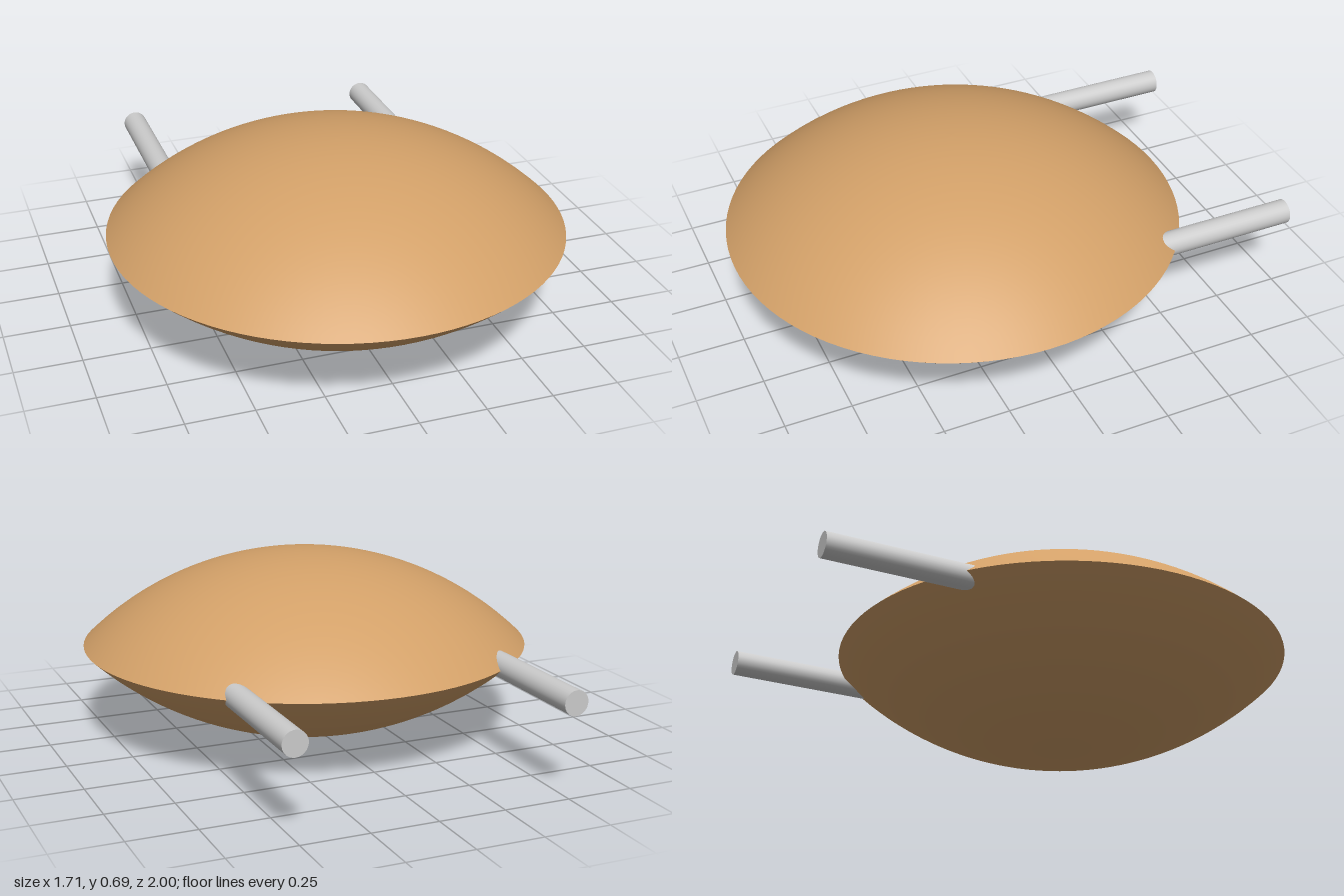
import * as THREE from 'three';

const RADIUS = 0.855, RISE = 0.343, MID_Y = 0.343, CENTER_Z = 0.145;

// Spherical cap, rim at y = 0; sign +1 bulges up, -1 bulges down
function capGeometry(sign) {
  const R = (RADIUS ** 2 + RISE ** 2) / (2 * RISE);
  const maxAngle = Math.asin(RADIUS / R);
  const steps = 32;
  const points = [];
  for (let i = 0; i <= steps; i++) {
    // profile runs from bottom to top so the faces point outwards
    const t = sign > 0 ? 1 - i / steps : i / steps;
    const a = maxAngle * t;
    points.push(new THREE.Vector2(R * Math.sin(a), sign * (R * Math.cos(a) - R + RISE)));
  }
  return new THREE.LatheGeometry(points, 96);
}

export function createModel() {
  const model = new THREE.Group();
  const tan = new THREE.MeshStandardMaterial({ color: 0xd2a068 });
  const grey = new THREE.MeshStandardMaterial({ color: 0xcccccc });

  // Lens-shaped body: two caps meeting at a sharp rim
  const body = new THREE.Group();
  body.name = 'lensBody';
  body.position.set(0, MID_Y, CENTER_Z);
  for (const [name, sign] of [['upperShell', 1], ['lowerShell', -1]]) {
    const shell = new THREE.Mesh(capGeometry(sign), tan);
    shell.name = name;
    body.add(shell);
  }
  model.add(body);

  // Two parallel rods running out of the rim to the back
  const rodFront = -0.4, rodBack = -1;
  for (const [name, side] of [['leftRod', 1], ['rightRod', -1]]) {
    const geometry = new THREE.CylinderGeometry(0.046, 0.046, rodFront - rodBack, 32);
    geometry.rotateX(Math.PI / 2);
    const rod = new THREE.Mesh(geometry, grey);
    rod.name = name;
    rod.position.set(side * 0.513, MID_Y, (rodFront + rodBack) / 2);
    model.add(rod);
  }
  return model;
}
